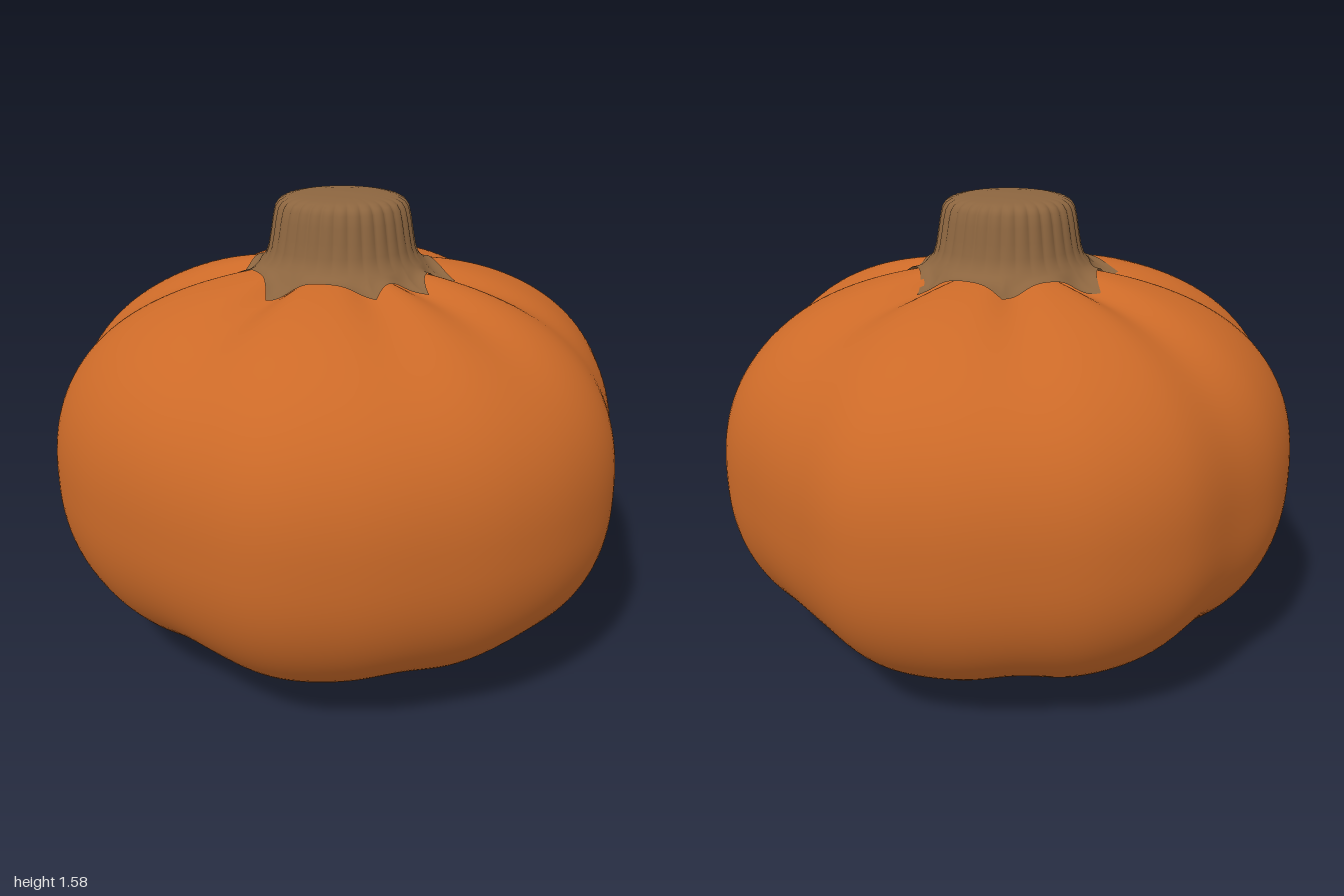
import * as THREE from 'three';

const TAU = Math.PI * 2, MID = 0.67, POWER = 2.4;
const rad = (deg) => deg * Math.PI / 180;

// Widest outline of the fruit: radius every 15 degrees, from +x towards +z
const outline = new THREE.CatmullRomCurve3([
  1, 0.965, 0.95, 0.995, 1, 0.99, 0.98, 0.99, 1, 0.967, 0.96, 0.985,
  1, 0.968, 0.988, 0.98, 0.952, 0.983, 0.99, 0.98, 1, 1.02, 0.97, 0.968,
].map((r) => new THREE.Vector3(r, 0, 0)), true, 'catmullrom');
const radiusAt = (a) => outline.getPoint((a / TAU) % 1).x;

// Creases between the lobes: [angle, strength]
const creases = [[27, 0.9], [62, 0.8], [92, 0.5], [143, 1], [195, 0.9], [240, 0.9], [285, 0.6], [340, 1]];
function creaseAt(a) {
  let sum = 0;
  for (const [deg, strength] of creases) {
    const d = Math.atan2(Math.sin(a - rad(deg)), Math.cos(a - rad(deg)));
    sum += strength * Math.exp(-((d / 0.17) ** 2));
  }
  return sum;
}

// Height of the skin at angle a and relative radius u (0 centre, 1 rim)
function skinHeight(a, u, top) {
  const dome = Math.pow(Math.max(0, 1 - Math.pow(u, POWER)), 1 / POWER);
  const groove = creaseAt(a) * THREE.MathUtils.smoothstep(u, 0, 0.25) * (1 - u * u);
  if (top) return MID + 0.682 * dome - 0.05 * groove - 0.04 * Math.exp(-((u / 0.12) ** 2));
  return MID - 0.685 * dome + 0.075 * groove + 0.06 * Math.exp(-((u / 0.13) ** 2));
}

// Closed rings of points, joined into one smooth surface
function ringSurface(rows, segments, point) {
  const pos = [], index = [];
  for (let j = 0; j < rows; j++) {
    for (let i = 0; i < segments; i++) pos.push(...point((i / segments) * TAU, j));
  }
  for (let j = 0; j < rows - 1; j++) {
    for (let i = 0; i < segments; i++) {
      const k = (i + 1) % segments;
      const a = j * segments + i, b = j * segments + k, c = a + segments, d = b + segments;
      index.push(a, c, b, b, c, d);
    }
  }
  const geo = new THREE.BufferGeometry();
  geo.setAttribute('position', new THREE.Float32BufferAttribute(pos, 3));
  geo.setIndex(index);
  geo.computeVertexNormals();
  return geo;
}

// Ragged edge of the stem base: concave scallops between pointed tips
const tips = [25, 60, 90, 145, 190, 236, 290, 338, 385].map(rad);
function starRadius(a) {
  const angle = a < tips[0] ? a + TAU : a;
  let n = 0;
  while (n < tips.length - 2 && angle >= tips[n + 1]) n++;
  const s = 2 * (angle - tips[n]) / (tips[n + 1] - tips[n]) - 1;
  return 0.315 + 0.07 * Math.abs(s) ** 2.5;
}

export function createModel() {
  const model = new THREE.Group();

  // Lobed fruit
  const ROWS = 81;
  const body = new THREE.Mesh(
    ringSurface(ROWS, 180, (a, j) => {
      const lat = (j / (ROWS - 1) - 0.5) * Math.PI;
      const u = Math.pow(Math.max(0, Math.cos(lat)), 2 / POWER);
      const r = u * radiusAt(a);
      return [r * Math.cos(a), skinHeight(a, u, lat > 0), r * Math.sin(a)];
    }),
    new THREE.MeshStandardMaterial({ color: 0xcc6a28 }),
  );
  body.name = 'fruitBody';

  // Stem: [radius, height, flute depth] from the flare up to the cap centre
  const profile = [
    [0.275, 1.355, 0], [0.258, 1.375, 0.002], [0.248, 1.405, 0.005], [0.24, 1.45, 0.007],
    [0.232, 1.5, 0.008], [0.224, 1.535, 0.009], [0.212, 1.553, 0.009], [0.192, 1.564, 0.006],
    [0.16, 1.57, 0.002], [0.1, 1.575, 0], [0, 1.578, 0],
  ];
  const SKIRT = 5;
  const stem = new THREE.Mesh(
    ringSurface(SKIRT + profile.length, 288, (a, j) => {
      let r, y;
      if (j < SKIRT) {
        // Skirt draped over the fruit
        const t = j / SKIRT;
        r = THREE.MathUtils.lerp(starRadius(a), 0.275, t);
        const drape = skinHeight(a, r / radiusAt(a), true) + 0.006;
        y = THREE.MathUtils.lerp(drape, 1.355, t ** 3);
      } else {
        const [pr, py, flute] = profile[j - SKIRT];
        r = pr - flute * (1 - Math.abs(Math.sin(a * 16)));
        y = py;
      }
      return [r * Math.cos(a), y, r * Math.sin(a) + 0.01];
    }),
    new THREE.MeshStandardMaterial({ color: 0x8c653f, side: THREE.DoubleSide }),
  );
  stem.name = 'stem';

  model.add(body, stem);
  return model;
}
